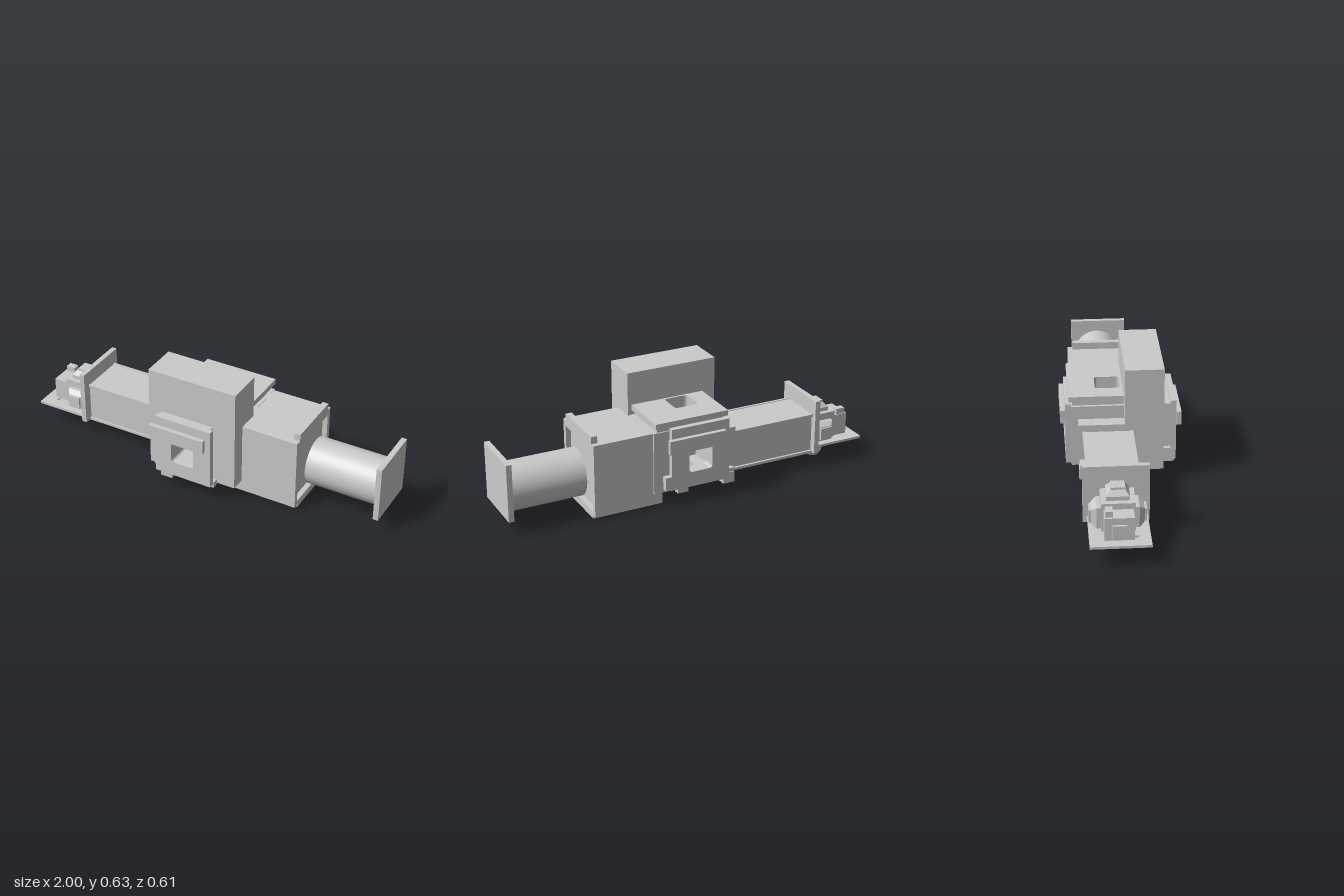
import * as THREE from 'three';

const material = new THREE.MeshStandardMaterial({ color: 0xcccccc, flatShading: true });
const smooth = new THREE.MeshStandardMaterial({ color: 0xcccccc });
const CZ = -0.06; // depth of the main axis

export function createModel() {
  const root = new THREE.Group();
  const add = (name, geometry, mat = material) => {
    const mesh = new THREE.Mesh(geometry, mat);
    mesh.name = name;
    root.add(mesh);
    return mesh;
  };
  // Box given by its limits on each axis
  const box = (name, x0, x1, y0, y1, z0, z1) => {
    const m = add(name, new THREE.BoxGeometry(x1 - x0, y1 - y0, z1 - z0));
    m.position.set((x0 + x1) / 2, (y0 + y1) / 2, (z0 + z1) / 2);
    return m;
  };
  const rect = (Type, x0, x1, y0, y1, r) => {
    const p = new Type();
    if (!r) {
      p.moveTo(x0, y0).lineTo(x1, y0).lineTo(x1, y1).lineTo(x0, y1).closePath();
      return p;
    }
    p.moveTo(x0 + r, y0).lineTo(x1 - r, y0).quadraticCurveTo(x1, y0, x1, y0 + r)
      .lineTo(x1, y1 - r).quadraticCurveTo(x1, y1, x1 - r, y1)
      .lineTo(x0 + r, y1).quadraticCurveTo(x0, y1, x0, y1 - r)
      .lineTo(x0, y0 + r).quadraticCurveTo(x0, y0, x0 + r, y0);
    return p;
  };
  const extrude = (outer, holes, depth) => {
    const s = rect(THREE.Shape, ...outer);
    holes.forEach((h) => s.holes.push(rect(THREE.Path, ...h)));
    return new THREE.ExtrudeGeometry(s, { depth, bevelEnabled: false, curveSegments: 5 });
  };
  // Upright slab facing z, with a rounded window
  const window = [-0.06, 0.068, 0.17, 0.3, 0.018];
  const wall = (name, x0, x1, y0, y1, z0, z1, holes = [window]) => {
    add(name, extrude([x0, x1, y0, y1], holes, z1 - z0)).position.z = z0;
  };
  // Flat slab facing y, holes given in x and z
  const hatch = [-0.06, 0.068, -0.125, 0.003, 0.018];
  const slab = (name, x0, x1, y0, y1, z0, z1, holes = [hatch]) => {
    const g = extrude([x0, x1, -z1, -z0],
      holes.map(([a, b, c, d, r]) => [a, b, -d, -c, r]), y1 - y0);
    g.rotateX(-Math.PI / 2);
    add(name, g).position.y = y0;
  };

  // Hollow central housing with windows front, back, top and bottom
  wall('housingBack', -0.155, 0.25, 0.075, 0.405, -0.25, -0.21);
  slab('housingTop', -0.155, 0.25, 0.37, 0.405, -0.21, 0.015);
  slab('housingBottom', -0.225, 0.25, 0.075, 0.105, -0.21, 0.015);
  box('housingLeftWall', 0.2, 0.25, 0.105, 0.37, -0.21, 0.015);
  box('housingRightWall', -0.155, -0.12, 0.105, 0.37, -0.21, 0.015);

  // Tall front block
  wall('tallBlock', -0.225, 0.265, 0.075, 0.63, 0.015, 0.21);

  // Front window frame
  wall('frontFrameBase', -0.15, 0.14, 0.095, 0.405, 0.21, 0.25);
  wall('frontFramePlate', -0.15, 0.165, 0.09, 0.42, 0.25, 0.28);
  box('frontBar', -0.175, 0.135, 0.297, 0.37, 0.28, 0.303);
  box('frontSideTab', -0.175, -0.12, 0.1, 0.165, 0.205, 0.25);
  box('frontFoot', -0.125, -0.06, 0.063, 0.097, 0.205, 0.275);
  box('frontFootRail', 0.07, 0.165, 0.065, 0.095, 0.205, 0.245);

  // Back window frame
  wall('backFramePlate', -0.155, 0.165, 0.09, 0.42, -0.279, -0.25);
  box('backBar', -0.125, 0.185, 0.297, 0.37, -0.303, -0.279);
  box('backFoot', 0.07, 0.13, 0.063, 0.1, -0.272, -0.24);
  box('backSideTab', 0.165, 0.2, 0.095, 0.165, -0.279, -0.245);

  // Top hatch
  slab('hatchBase', -0.14, 0.23, 0.405, 0.43, -0.243, 0.015);
  slab('hatchPlate', -0.155, 0.245, 0.43, 0.458, -0.262, 0.015);

  // Large left housing with a shallow recess in its end
  box('leftHousing', 0.2, 0.54, 0.015, 0.403, -0.242, 0.132);
  const rim = add('leftHousingRim',
    extrude([-0.132, 0.242, 0.015, 0.403], [[-0.106, 0.215, 0.04, 0.37]], 0.027));
  rim.rotation.y = Math.PI / 2;
  rim.position.x = 0.54;
  box('upperLip', 0.535, 0.567, 0.395, 0.44, -0.215, 0.1);
  box('lowerLip', 0.535, 0.567, 0, 0.02, -0.215, 0.1);

  // Drum and its end plate
  const drum = add('drum', new THREE.CylinderGeometry(0.123, 0.123, 0.385, 64), smooth);
  drum.rotation.z = Math.PI / 2;
  drum.position.set(0.773, 0.197, -0.062);
  box('drumEndPlate', 0.972, 1, 0.077, 0.378, -0.207, 0.096);

  // Right beam with edge rails and clamp bars
  box('beam', -0.71, -0.155, 0.085, 0.298, -0.185, 0.048);
  for (const y of [0.08, 0.287]) {
    for (const z of [-0.197, 0.043]) box('beamRail', -0.71, -0.225, y, y + 0.014, z, z + 0.014);
  }
  box('upperClamp', -0.225, -0.155, 0.29, 0.335, -0.215, 0.015);
  box('lowerClamp', -0.225, -0.16, 0.027, 0.085, -0.215, 0.015);
  box('beamFlange', -0.725, -0.698, 0.085, 0.38, -0.22, 0.097);

  // Thin base plate with two slots
  slab('basePlate', -1, -0.7, 0.105, 0.118, -0.2, 0.087,
    [[-0.93, -0.915, -0.13, -0.07], [-0.93, -0.915, -0.03, 0.03]]);

  // Small mechanism on the base plate
  box('mechanismBody', -0.87, -0.72, 0.085, 0.265, -0.14, 0.02);
  box('mechanismNose', -0.95, -0.86, 0.085, 0.235, -0.13, 0.01);
  box('noseCap', -0.94, -0.89, 0.235, 0.265, -0.125, -0.09);
  box('nosePad', -0.962, -0.95, 0.135, 0.2, -0.095, -0.025);

  // Stepped square buttons on top, front and back
  const button = (name, rotX, y, z) => {
    const group = new THREE.Group();
    group.name = name;
    const taper = new THREE.CylinderGeometry(0.036 * Math.SQRT2, 0.055 * Math.SQRT2, 0.025, 4);
    taper.rotateY(Math.PI / 4);
    [[new THREE.BoxGeometry(0.11, 0.02, 0.11), 0.01], [taper, 0.0325],
      [new THREE.BoxGeometry(0.066, 0.012, 0.066), 0.05]].forEach(([g, h]) => {
      const m = new THREE.Mesh(g, material);
      m.name = name + 'Step';
      m.position.y = h;
      group.add(m);
    });
    group.rotation.x = rotX;
    group.position.set(-0.787, y, z);
    root.add(group);
  };
  button('topButton', 0, 0.265, CZ);
  button('frontButton', Math.PI / 2, 0.172, 0.02);
  button('backButton', -Math.PI / 2, 0.172, -0.14);

  // Round knob underneath
  const knob = [[0, 0.003], [0.03, 0.003], [0.042, 0.015], [0.052, 0.035], [0.052, 0.06],
    [0.032, 0.068], [0.032, 0.09], [0, 0.09]].map(([r, y]) => new THREE.Vector2(r, y));
  add('bottomKnob', new THREE.LatheGeometry(knob, 16)).position.set(-0.787, 0, CZ);

  return root;
}
